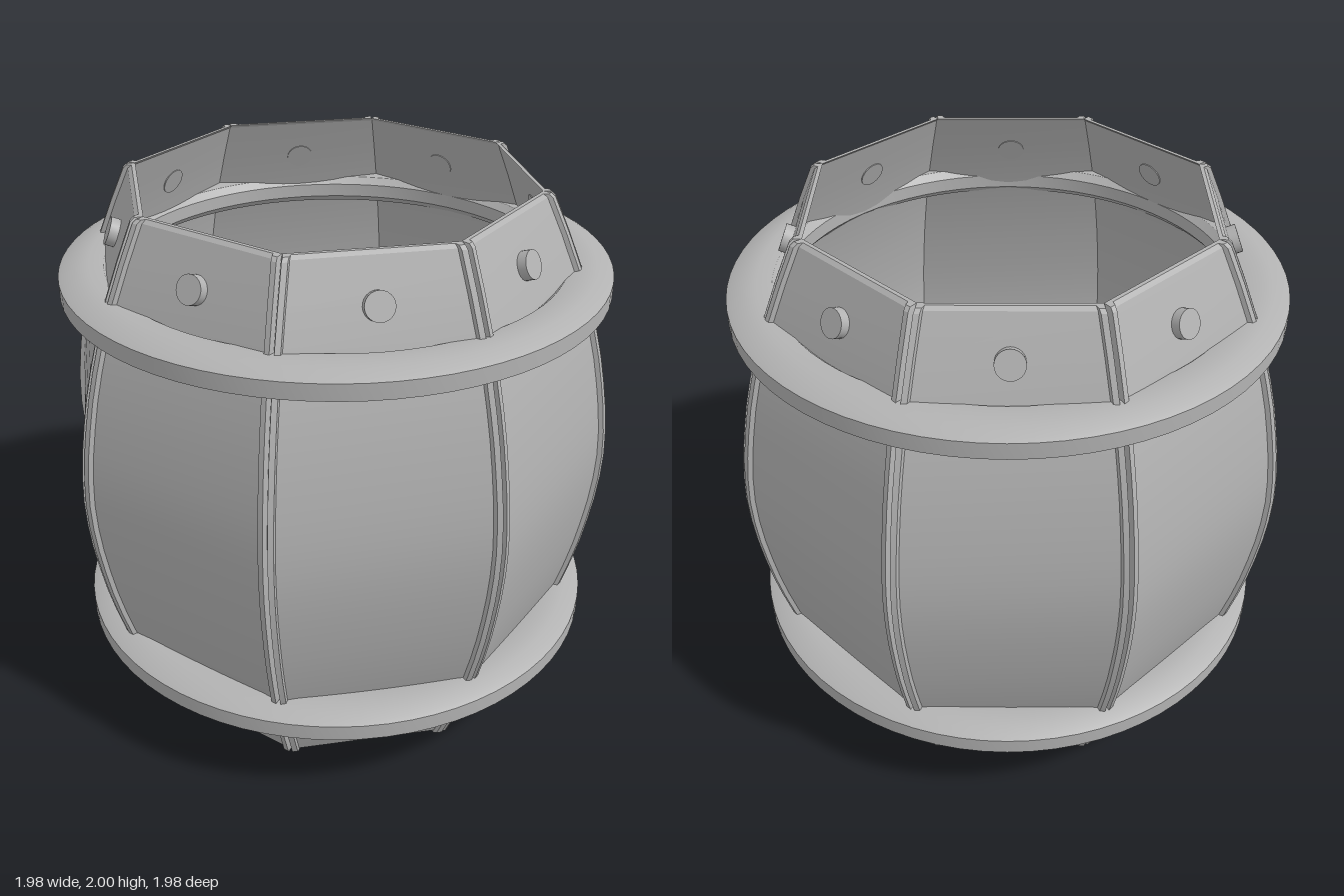
import * as THREE from 'three';
import { toCreasedNormals } from 'three/addons/utils/BufferGeometryUtils.js';

const SIDES = 8;
const TAN = Math.tan(Math.PI / SIDES);
const THICK = 0.014, LIP = 0.016, LIP_W = 0.02;

// Distance of a stave's outer face from the axis, by height (mirrored about y = 1)
const PROFILE = [
  [0, 0.69], [0.012, 0.704], [0.14, 0.758], [0.27, 0.808], [0.4, 0.85], [0.5, 0.877],
  [0.6, 0.9], [0.7, 0.918], [0.8, 0.933], [0.9, 0.943], [1, 0.947],
];
const ROWS = [...PROFILE, ...PROFILE.slice(0, -1).reverse().map(([y, a]) => [2 - y, a])];

// Bowed plank with a raised lip along both long edges, facing +z
function staveGeometry() {
  const pos = [], index = [], n = 8;
  for (const [y, a] of ROWS) {
    const w = a * TAN - 0.002, wi = (a - THICK) * TAN;
    const section = [
      [-wi, -THICK], [-w, LIP], [-w + LIP_W, LIP], [-w + LIP_W + 0.008, 0],
      [w - LIP_W - 0.008, 0], [w - LIP_W, LIP], [w, LIP], [wi, -THICK],
    ];
    for (const [u, d] of section) pos.push(u, y, a + d);
  }
  const quad = (a, b, c, d) => index.push(a, b, c, a, c, d);
  for (let i = 0; i < ROWS.length - 1; i++) {
    for (let j = 0; j < n; j++) {
      const k = (j + 1) % n;
      quad(i * n + j, i * n + k, (i + 1) * n + k, (i + 1) * n + j);
    }
  }
  // End caps
  const t = (ROWS.length - 1) * n;
  for (const [a, b, c, d] of [[0, 3, 4, 7], [0, 1, 2, 3], [4, 5, 6, 7]]) {
    quad(d, c, b, a);
    quad(t + a, t + b, t + c, t + d);
  }
  const g = new THREE.BufferGeometry();
  g.setAttribute('position', new THREE.Float32BufferAttribute(pos, 3));
  g.setIndex(index);
  return toCreasedNormals(g, 0.4);
}

// Solid bevelled band, centred on y = 0
function hoopGeometry() {
  const upper = [[0.99, 0.03], [0.975, 0.038], [0.93, 0.053], [0.885, 0.06], [0.83, 0.05], [0.805, 0.025]];
  const lower = upper.map(([r, y]) => [r, -y]).reverse();
  const points = [...lower, ...upper, lower[0]].map(([r, y]) => new THREE.Vector2(r, y));
  return toCreasedNormals(new THREE.LatheGeometry(points, 72), 0.45);
}

export function createModel() {
  const model = new THREE.Group();
  model.name = 'barrel';
  const grey = new THREE.MeshStandardMaterial({ color: 0xb2b2b2 });
  grey.name = 'grey';

  const add = (parent, geometry, name) => {
    const mesh = new THREE.Mesh(geometry, grey);
    mesh.name = name;
    parent.add(mesh);
    return mesh;
  };

  // Eight staves, each with a bolt near both ends
  const body = new THREE.Group();
  body.name = 'staves';
  body.position.x = -0.013;
  model.add(body);
  const stave = staveGeometry();
  const bolt = toCreasedNormals(new THREE.CylinderGeometry(0.05, 0.05, 0.05, 24).rotateX(Math.PI / 2), 0.6);
  for (let i = 0; i < SIDES; i++) {
    const side = new THREE.Group();
    side.name = 'side';
    side.rotation.y = (i * Math.PI * 2) / SIDES;
    body.add(side);
    add(side, stave, 'stave');
    for (const s of [1, -1]) {
      const b = add(side, bolt, s > 0 ? 'upperBolt' : 'lowerBolt');
      b.position.set(0, 1 + s * 0.846, 0.772);
      b.rotation.x = -s * 0.37;
    }
  }

  // Two hoops around the staves
  const hoop = hoopGeometry();
  for (const s of [1, -1]) {
    add(model, hoop, s > 0 ? 'upperHoop' : 'lowerHoop').position.y = 1 + s * 0.673;
  }
  return model;
}
